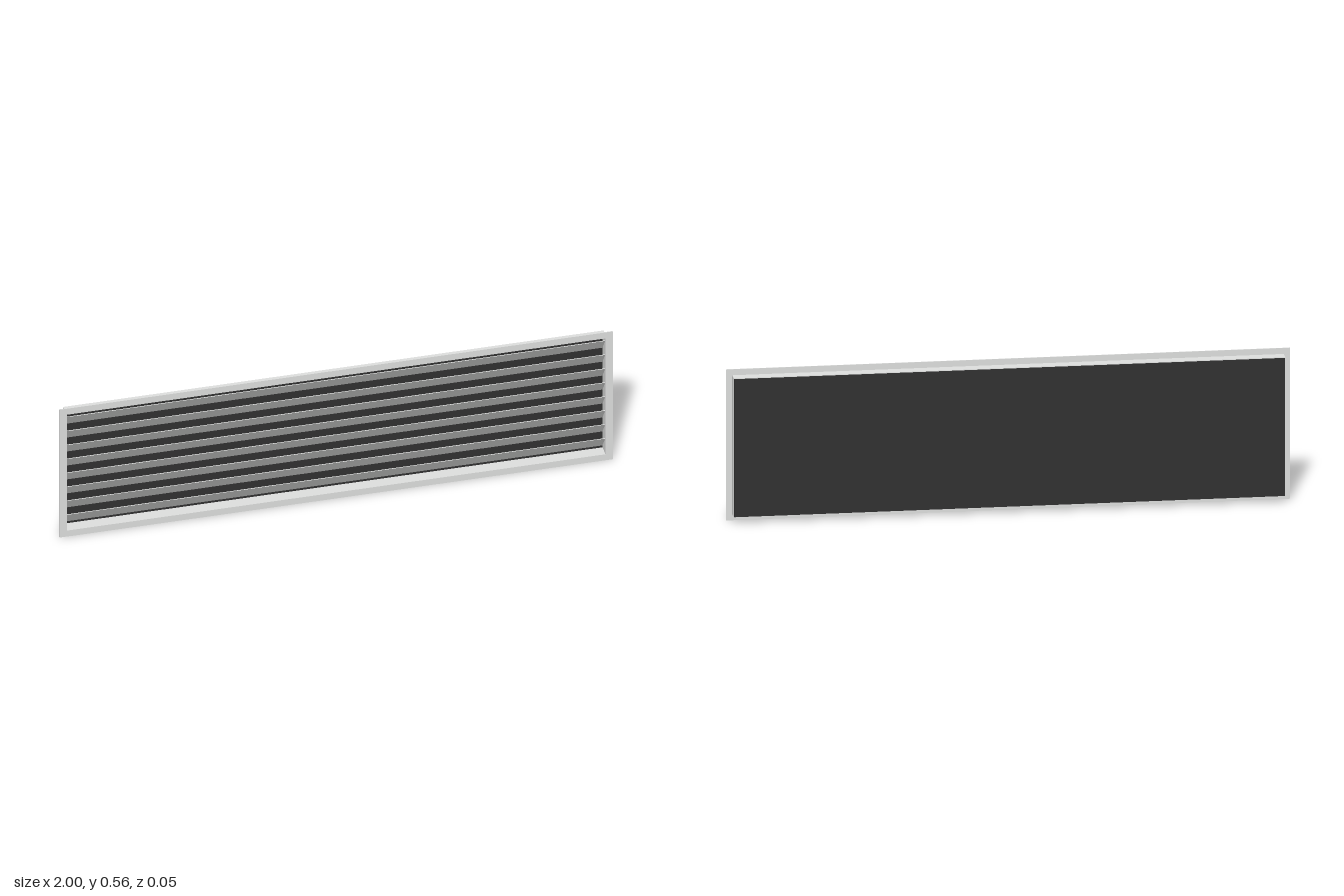
import * as THREE from 'three';

const W = 2, H = 0.556;              // outer flange
const BODY_W = 1.955, BODY_H = 0.512; // duct collar
const WALL = 0.004;
const BACK = -0.0205, FRONT = 0.0225, FLANGE = 0.003;

// Rectangular ring extruded along z
function ring(w, h, innerW, innerH, z0, z1) {
  const rect = (C, a, b) => {
    const r = new C();
    r.moveTo(-a / 2, -b / 2);
    r.lineTo(a / 2, -b / 2);
    r.lineTo(a / 2, b / 2);
    r.lineTo(-a / 2, b / 2);
    r.closePath();
    return r;
  };
  const shape = rect(THREE.Shape, w, h);
  shape.holes.push(rect(THREE.Path, innerW, innerH));
  const geo = new THREE.ExtrudeGeometry(shape, { depth: z1 - z0, bevelEnabled: false });
  return geo.translate(0, H / 2, z0);
}

export function createModel() {
  const paleGrey = new THREE.MeshStandardMaterial({ name: 'paleGrey', color: 0xdedfde });
  const backDark = new THREE.MeshStandardMaterial({ name: 'backDark', color: 0x303030 });

  const group = new THREE.Group();
  group.name = 'louvreVent';
  const add = (name, geo, mat) => {
    const mesh = new THREE.Mesh(geo, mat);
    mesh.name = name;
    group.add(mesh);
    return mesh;
  };

  const innerW = BODY_W - 2 * WALL, innerH = BODY_H - 2 * WALL;

  // Thin front flange and the collar behind it
  add('flange', ring(W, H, innerW, innerH, FRONT - FLANGE, FRONT), paleGrey);
  add('collar', ring(BODY_W, BODY_H, innerW, innerH, BACK, FRONT - FLANGE), paleGrey);

  // Dark panel closing the back
  add('backPanel', new THREE.BoxGeometry(BODY_W - 0.004, BODY_H - 0.004, 0.002), backDark)
    .position.set(0, H / 2, BACK - 0.001);

  // Slanted slats, upper edge forward
  const count = 8, pitch = 0.0607, rise = 0.057, depth = 0.039;
  const slatGeo = new THREE.BoxGeometry(innerW - 0.002, Math.hypot(rise, depth), 0.002);
  for (let i = 0; i < count; i++) {
    const slat = add(`slat${i + 1}`, slatGeo, paleGrey);
    slat.position.set(0, H / 2 + (i - (count - 1) / 2) * pitch, 0.001);
    slat.rotation.x = Math.atan2(depth, rise);
  }
  return group;
}
